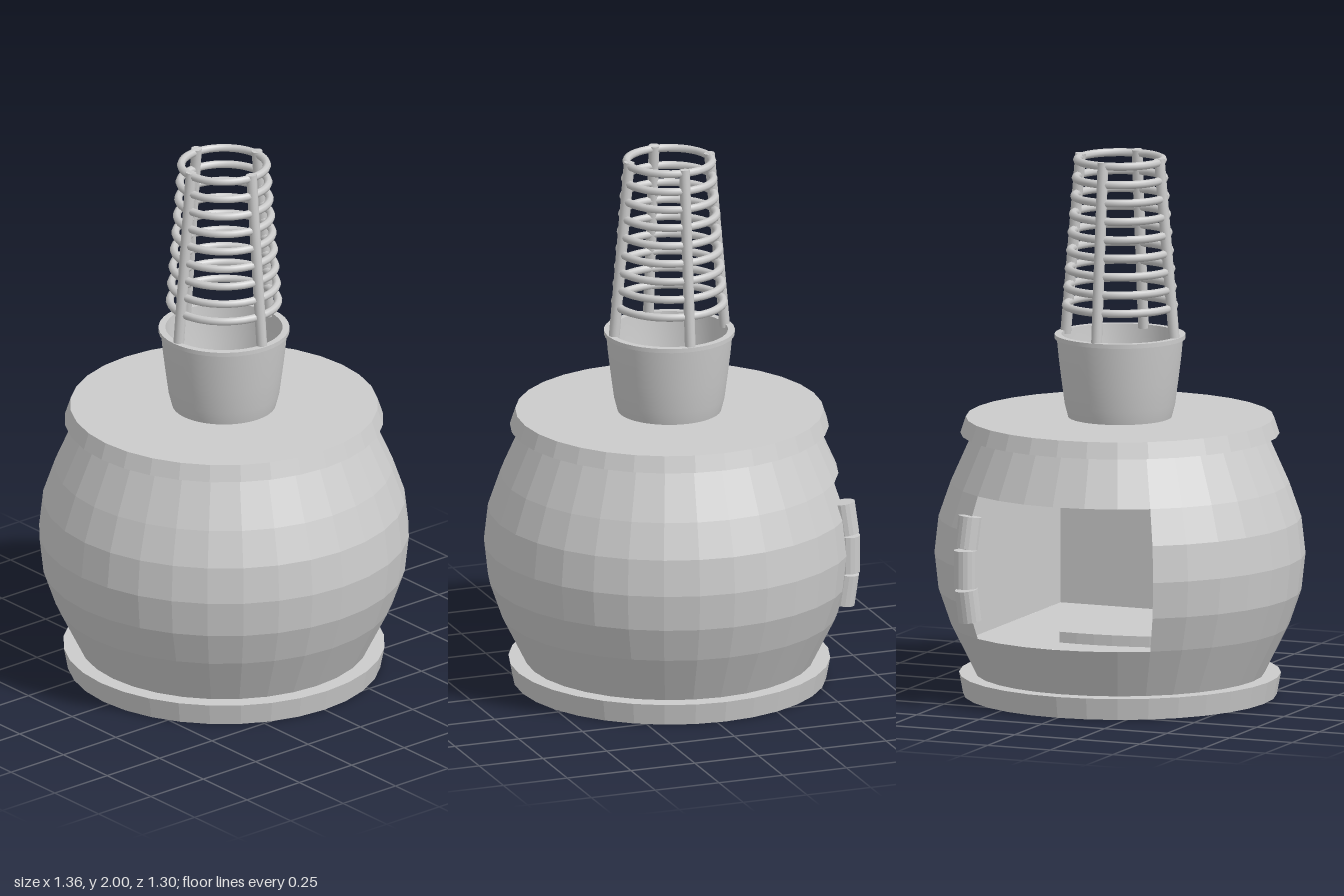
import * as THREE from 'three';

const SEG = 32, CZ = -0.03, STEP = (Math.PI * 2) / SEG;
const flat = new THREE.MeshStandardMaterial({ color: 0xcccccc, flatShading: true, side: THREE.DoubleSide });
const smooth = new THREE.MeshStandardMaterial({ color: 0xcccccc, side: THREE.DoubleSide });

// Barrel profile as [radius, height]
const profile = [[0.53, 0.08], [0.62, 0.26], [0.665, 0.39], [0.68, 0.525], [0.665, 0.66], [0.62, 0.79], [0.54, 0.97]];
const v2 = (pts) => pts.map(([x, y]) => new THREE.Vector2(x, y));

export function createModel() {
  const model = new THREE.Group();
  const oven = new THREE.Group();
  oven.name = 'oven';
  oven.position.z = CZ;
  model.add(oven);

  const add = (name, geometry, material = flat, parent = oven) => {
    const mesh = new THREE.Mesh(geometry, material);
    mesh.name = name;
    parent.add(mesh);
    return mesh;
  };

  // Barrel body: full bands below and above, middle band open at the back
  add('lowerBody', new THREE.LatheGeometry(v2(profile.slice(0, 2)), SEG));
  add('middleBody', new THREE.LatheGeometry(v2(profile.slice(1, 6)), SEG - 6, Math.PI + 3 * STEP, (SEG - 6) * STEP));
  add('upperBody', new THREE.LatheGeometry(v2(profile.slice(5)), SEG));

  // Base and lid plates
  add('basePlate', new THREE.CylinderGeometry(0.59, 0.575, 0.08, SEG)).position.y = 0.04;
  add('lidPlate', new THREE.CylinderGeometry(0.565, 0.585, 0.06, SEG)).position.y = 1.0;

  // Box-shaped cavity trimmed to the barrel at the opening
  const half = 0.38, y0 = 0.26, y1 = 0.79, depth = 0.33;
  const backZ = (r, x) => -Math.sqrt(r * r - x * x);

  const plate = [[half, -depth], [-half, -depth]];
  const a = Math.asin(half / 0.62);
  for (let i = 0; i <= 8; i++) {
    const t = -a + (2 * a * i) / 8;
    plate.push([0.617 * Math.sin(t), 0.617 * Math.cos(t)]);
  }
  const plateGeometry = new THREE.ShapeGeometry(new THREE.Shape(v2(plate))).rotateX(-Math.PI / 2);
  add('cavityFloor', plateGeometry).position.y = y0;
  add('cavityCeiling', plateGeometry).position.y = y1;

  const side = [[depth, y1], [depth, y0]];
  for (const [r, y] of profile.slice(1, 6)) side.push([backZ(r - 0.006, half), y]);
  const sideGeometry = new THREE.ShapeGeometry(new THREE.Shape(v2(side))).rotateY(-Math.PI / 2);
  for (const s of [-1, 1]) add(s > 0 ? 'leftCavityWall' : 'rightCavityWall', sideGeometry).position.x = s * half;
  add('cavityEndWall', new THREE.PlaneGeometry(2 * half, y1 - y0)).position.set(0, (y0 + y1) / 2, depth);

  // Wedge slab lying on the cavity floor
  const wedge = new THREE.Shape();
  wedge.moveTo(0.12, -0.09);
  wedge.lineTo(0.04, 0.465);
  wedge.quadraticCurveTo(-0.17, 0.48, -0.37, 0.41);
  wedge.closePath();
  const slab = new THREE.ExtrudeGeometry(wedge, { depth: 0.04, bevelEnabled: false, curveSegments: 6 });
  add('floorSlab', slab.rotateX(-Math.PI / 2)).position.y = y0;

  // Three-knuckle hinge following the curve of the barrel
  const hinge = new THREE.Group();
  hinge.name = 'hinge';
  hinge.rotation.y = Math.PI - 3 * STEP;
  oven.add(hinge);
  for (const [y, h, tilt, r] of [[0.39, 0.12, 0.14, 0.662], [0.525, 0.14, 0, 0.674], [0.66, 0.12, -0.14, 0.662]]) {
    const knuckle = add('hingeKnuckle', new THREE.CylinderGeometry(0.043, 0.043, h, 16), flat, hinge);
    knuckle.position.set(0, y, r);
    knuckle.rotation.x = tilt;
  }

  // Hollow flared chimney pot
  const pot = [[0.19, 1.03], [0.203, 1.08], [0.215, 1.17], [0.225, 1.25], [0.232, 1.322]];
  add('chimneyPot', new THREE.LatheGeometry(v2(pot), 40), smooth);
  const lip = [[0.232, 1.322], [0.24, 1.322], [0.24, 1.338], [0.215, 1.338]];
  for (let i = 0; i < 3; i++) add('chimneyLip', new THREE.LatheGeometry(v2(lip.slice(i, i + 2)), 40), smooth);
  add('chimneyLining', new THREE.LatheGeometry(v2([[0.215, 1.338], [0.205, 1.2], [0.175, 1.03]]), 40), smooth);

  // Tapering cage of rings
  for (let i = 0; i < 9; i++) {
    const ring = new THREE.TorusGeometry(0.199 - 0.0052 * i, 0.015, 8, 40).rotateX(Math.PI / 2);
    add('cageRing', ring, smooth).position.y = 1.445 + 0.0675 * i;
  }

  // Four leaning cage posts
  const low = new THREE.Vector3(0, 1.325, 0.217), high = new THREE.Vector3(0, 1.998, 0.157);
  const lean = high.clone().sub(low);
  for (let i = 0; i < 4; i++) {
    const pivot = new THREE.Group();
    pivot.name = 'cagePost';
    pivot.rotation.y = (i * Math.PI) / 2;
    oven.add(pivot);
    const post = add('post', new THREE.CylinderGeometry(0.02, 0.02, lean.length(), 12), smooth, pivot);
    post.position.copy(low).add(high).multiplyScalar(0.5);
    post.rotation.x = Math.atan2(lean.z, lean.y);
  }
  return model;
}
